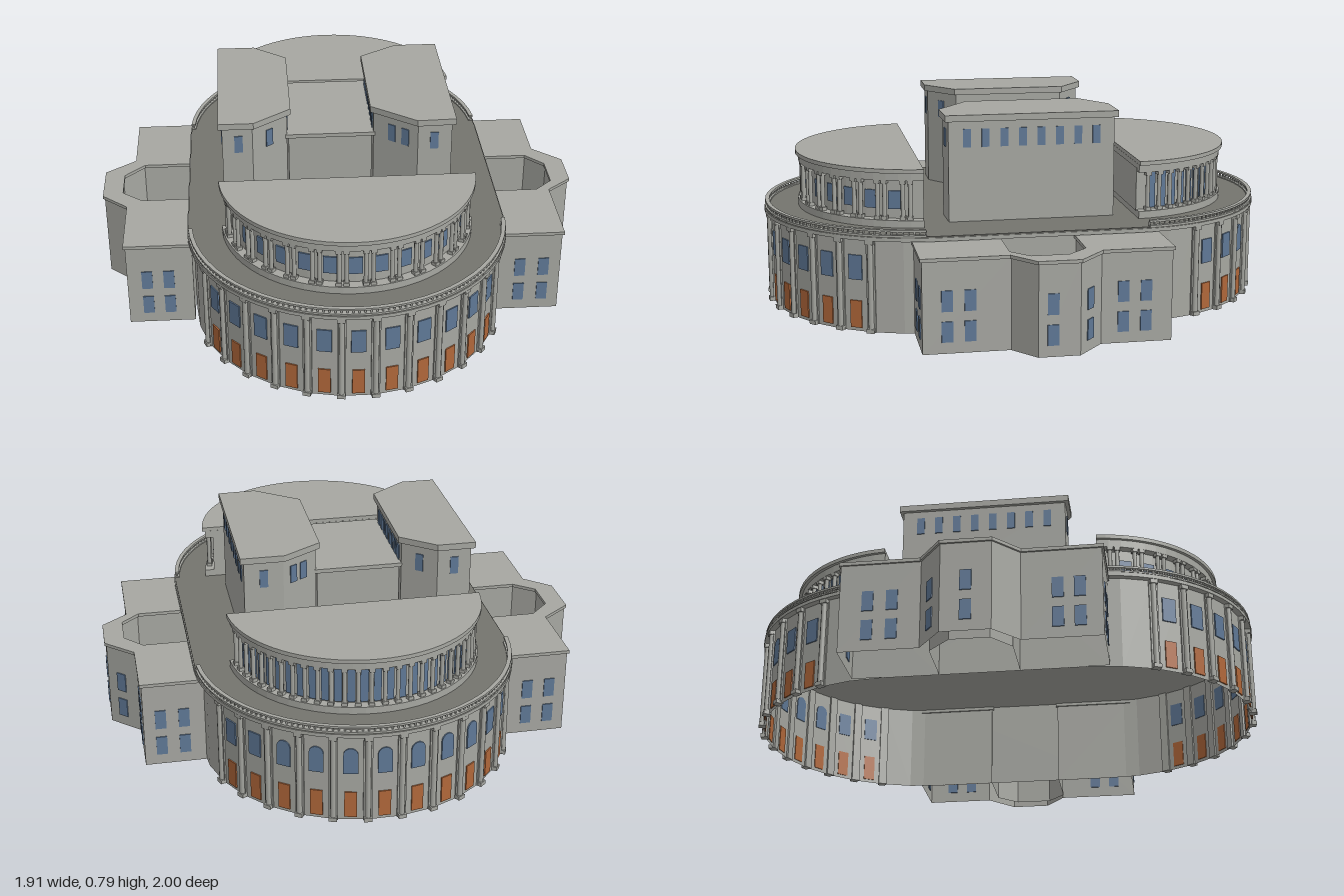
import * as THREE from 'three';

const flat = (name, color, side = THREE.FrontSide) => {
  const m = new THREE.MeshStandardMaterial({ color, side });
  m.name = name;
  return m;
};

export function createModel() {
  const stone = flat('stone', 0xa6a7a1);
  const wallStone = stone;
  stone.side = THREE.DoubleSide;
  const terraceGrey = flat('terrace grey', 0x74746e);
  const glass = flat('window blue', 0x5f7896);
  const doorWood = flat('door orange', 0xb0673a);
  const rad = Math.PI / 180;

  const model = new THREE.Group();
  model.name = 'theatre';

  function group(name, parent) {
    const g = new THREE.Group();
    g.name = name;
    parent.add(g);
    return g;
  }
  function add(parent, name, geo, mat, x = 0, y = 0, z = 0, ry = 0) {
    const m = new THREE.Mesh(geo, mat);
    m.name = name;
    m.position.set(x, y, z);
    m.rotation.y = ry;
    parent.add(m);
    return m;
  }

  // Plans are lists of [x, z], running from -x to +x along the front
  function slab(parent, name, pts, y0, y1, mat) {
    const shape = new THREE.Shape(pts.map(([x, z]) => new THREE.Vector2(x, -z)));
    const geo = new THREE.ExtrudeGeometry(shape, { depth: y1 - y0, bevelEnabled: false });
    geo.rotateX(-Math.PI / 2);
    return add(parent, name, geo, mat, 0, y0);
  }
  function walls(parent, name, pts, y0, y1) {
    const v = [];
    pts.forEach(([px, pz], i) => {
      const [qx, qz] = pts[(i + 1) % pts.length];
      v.push(px, y0, pz, qx, y0, qz, qx, y1, qz, px, y0, pz, qx, y1, qz, px, y1, pz);
    });
    const geo = new THREE.BufferGeometry();
    geo.setAttribute('position', new THREE.Float32BufferAttribute(v, 3));
    geo.computeVertexNormals();
    return add(parent, name, geo, wallStone);
  }
  // Shrinks a plan by d with mitred corners
  function inset(pts, d) {
    const n = pts.length;
    const normal = (p, q) => {
      const dx = q[0] - p[0], dz = q[1] - p[1], l = Math.hypot(dx, dz);
      return [-dz / l, dx / l];
    };
    return pts.map((p, i) => {
      const a = normal(pts[(i + n - 1) % n], p), b = normal(p, pts[(i + 1) % n]);
      const k = d / (1 + a[0] * b[0] + a[1] * b[1]);
      return [p[0] - (a[0] + b[0]) * k, p[1] - (a[1] + b[1]) * k];
    });
  }
  // Thin window plates along one edge of a plan
  function edgeWindows(parent, pts, edge, ts, rows, w) {
    const p = pts[edge], q = pts[(edge + 1) % pts.length];
    const angle = Math.atan2(p[1] - q[1], q[0] - p[0]);
    for (const t of ts) for (const [y0, y1] of rows) {
      add(parent, 'window', new THREE.BoxGeometry(w, y1 - y0, 0.008), glass,
        p[0] + (q[0] - p[0]) * t, (y0 + y1) / 2, p[1] + (q[1] - p[1]) * t, angle);
    }
  }
  const spread = (n, a, b) => Array.from({ length: n }, (_, i) => a + (b - a) * i / (n - 1));

  // Round ends have centres at z = +-C; angles run from the outward axis
  const C = 0.38;
  const polar = (r, deg, s = 1) => [s * r * Math.sin(deg * rad), s * (C + r * Math.cos(deg * rad))];
  const arc = (r, a, n, s = 1) => spread(n + 1, -a, a).map(d => polar(r, d, s));
  const stadium = (r, n) => [...arc(r, 90, n), ...arc(r, 90, n, -1)];
  function onArc(parent, name, geo, mat, r, deg, y) {
    const [x, z] = polar(r, deg);
    return add(parent, name, geo, mat, x, y, z, deg * rad);
  }
  const box = (w, h, d) => new THREE.BoxGeometry(w, h, d);
  const column = (r, h) => new THREE.CylinderGeometry(r, r, h, 8);

  // Main oval body, open below
  const body = group('mainBody', model);
  body.position.x = 0.006;
  walls(body, 'bodyWall', stadium(0.598, 15), 0, 0.365);
  slab(body, 'bodyCornice', stadium(0.62, 30), 0.358, 0.372, stone);
  slab(body, 'terrace', stadium(0.616, 30), 0.371, 0.377, terraceGrey);

  const archShape = new THREE.Shape();
  archShape.moveTo(-0.027, -0.05);
  archShape.lineTo(0.027, -0.05);
  archShape.lineTo(0.027, 0.028);
  archShape.absarc(0, 0.028, 0.027, 0, Math.PI, false);
  const archGeo = new THREE.ExtrudeGeometry(archShape, { depth: 0.008, bevelEnabled: false, curveSegments: 8 });
  archGeo.translate(0, 0, -0.004);

  const geos = {
    window: box(0.055, 0.095, 0.008), door: box(0.046, 0.105, 0.008),
    pilaster: box(0.034, 0.36, 0.014), column: column(0.011, 0.335), foot: box(0.03, 0.016, 0.026),
    post: box(0.006, 0.016, 0.006),
    drumColumn: column(0.0085, 0.15), drumFoot: box(0.022, 0.014, 0.022),
    drumWindow: box(0.05, 0.07, 0.008), tallWindow: box(0.03, 0.14, 0.008),
  };

  for (const isBack of [false, true]) {
    const end = group(isBack ? 'backEnd' : 'frontEnd', body);
    if (isBack) end.rotation.y = Math.PI;

    // Bays with a door below and a window above
    const face = 0.598 * Math.cos(6 * rad) + 0.001;
    for (let k = -5; k <= 5; k++) {
      const arched = isBack && Math.abs(k) <= 3;
      onArc(end, 'upperWindow', arched ? archGeo : geos.window, glass, face, k * 12, 0.247);
      onArc(end, 'door', geos.door, doorWood, face, k * 12, 0.066);
    }
    // Columns between bays
    for (let k = -6; k < 6; k++) {
      const a = k * 12 + 6;
      onArc(end, 'pilaster', geos.pilaster, stone, 0.595, a, 0.18);
      onArc(end, 'column', geos.column, stone, 0.604, a, 0.18);
      for (const y of [0.008, 0.35]) onArc(end, 'columnBlock', geos.foot, stone, 0.604, a, y);
    }
    // Balustrade
    const ring = (r0, r1) => [...arc(r1, 86, 30), ...arc(r0, 86, 30).reverse()];
    slab(end, 'balustradeBase', ring(0.598, 0.618), 0.376, 0.382, stone);
    slab(end, 'balustradeRail', ring(0.6, 0.616), 0.394, 0.402, stone);
    for (let a = -86; a <= 86; a += 2) onArc(end, 'baluster', geos.post, stone, 0.608, a, 0.388);

    // Upper half drum with its colonnade
    const drum = group('upperDrum', end);
    slab(drum, 'drumBase', arc(0.485, 86, 30), 0.376, 0.405, stone);
    walls(drum, 'drumWall', arc(0.448, 86, 30), 0.4, 0.57);
    slab(drum, 'drumBeam', arc(0.48, 86, 30), 0.556, 0.587, stone);
    slab(drum, 'drumRoof', arc(0.492, 86, 40), 0.586, 0.602, stone);
    const columnAt = a => {
      onArc(drum, 'drumColumn', geos.drumColumn, stone, 0.468, a, 0.481);
      for (const y of [0.411, 0.55]) onArc(drum, 'drumColumnBlock', geos.drumFoot, stone, 0.468, a, y);
    };
    if (isBack) {
      for (let a = -81; a <= 81; a += 6) {
        columnAt(a);
        if (a < 81) onArc(drum, 'tallWindow', geos.tallWindow, glass, 0.449, a + 3, 0.48);
      }
    } else {
      for (let k = -6; k <= 6; k++) onArc(drum, 'drumWindow', geos.drumWindow, glass, 0.449, k * 12, 0.477);
      for (let k = -7; k < 7; k++) for (const d of [-1.7, 1.7]) columnAt(k * 12 + 6 + d);
    }
  }

  // Side wings wrapped around open courtyards
  const wingPlans = {
    leftWing: {
      pts: [[0.59, 0.475], [0.85, 0.475], [0.85, 0.15], [0.95, 0.07], [0.95, -0.09], [0.84, -0.19], [0.84, -0.46],
        [0.59, -0.46], [0.59, -0.135], [0.8, -0.135], [0.87, -0.06], [0.87, 0.08], [0.8, 0.145], [0.59, 0.145]],
      windows: [[0, [0.35, 0.73]], [1, [0.28, 0.54]], [3, [0.35]], [4, [0.45]], [5, [0.31, 0.63]], [6, [0.28, 0.66]]],
    },
    rightWing: {
      pts: [[-0.86, 0.465], [-0.59, 0.465], [-0.59, 0.125], [-0.8, 0.125], [-0.88, 0.06], [-0.88, -0.08], [-0.8, -0.16],
        [-0.59, -0.16], [-0.59, -0.5], [-0.84, -0.5], [-0.84, -0.2], [-0.96, -0.11], [-0.96, 0.08], [-0.86, 0.17]],
      windows: [[0, [0.3, 0.63]], [8, [0.34, 0.72]], [9, [0.35, 0.65]], [10, [0.5]], [11, [0.5]], [13, [0.45, 0.72]]],
    },
  };
  for (const [name, { pts, windows }] of Object.entries(wingPlans)) {
    const wing = group(name, model);
    const plan = inset(pts, 0.007);
    walls(wing, 'wingWall', plan, 0, 0.35);
    slab(wing, 'wingRoof', pts, 0.343, 0.356, stone);
    for (const [edge, ts] of windows) edgeWindows(wing, plan, edge, ts, [[0.043, 0.12], [0.157, 0.235]], 0.042);
  }

  // Stage towers with the lower hall between them
  const towerPlans = {
    leftTower: {
      pts: [[0.11, 0.2], [0.28, 0.33], [0.43, 0.325], [0.43, -0.345], [0.26, -0.345], [0.11, -0.25]],
      windows: [[0, [0.42, 0.72]], [1, [0.48]], [3, [0.5]], [4, [0.3, 0.6]]], long: [2, 5],
    },
    rightTower: {
      pts: [[-0.48, 0.31], [-0.345, 0.31], [-0.2, 0.2], [-0.2, -0.255], [-0.33, -0.36], [-0.48, -0.36]],
      windows: [[0, [0.54]], [1, [0.48]], [3, [0.5]], [4, [0.5]]], long: [2, 5],
    },
  };
  for (const [name, { pts, windows, long }] of Object.entries(towerPlans)) {
    const tower = group(name, model);
    const plan = inset(pts, 0.014);
    walls(tower, 'towerWall', plan, 0.375, 0.77);
    slab(tower, 'towerRoof', pts, 0.765, 0.79, stone);
    for (const [edge, ts] of windows) edgeWindows(tower, plan, edge, ts, [[0.66, 0.73]], 0.032);
    for (const edge of long) edgeWindows(tower, plan, edge, spread(8, 0.11, 0.89), [[0.665, 0.735]], 0.03);
  }
  const hall = group('middleHall', model);
  const hallPlan = [[-0.22, 0.2], [0.13, 0.2], [0.13, -0.25], [-0.22, -0.25]];
  walls(hall, 'hallWall', inset(hallPlan, 0.012), 0.375, 0.665);
  slab(hall, 'hallRoof', hallPlan, 0.66, 0.676, stone);

  return model;
}
